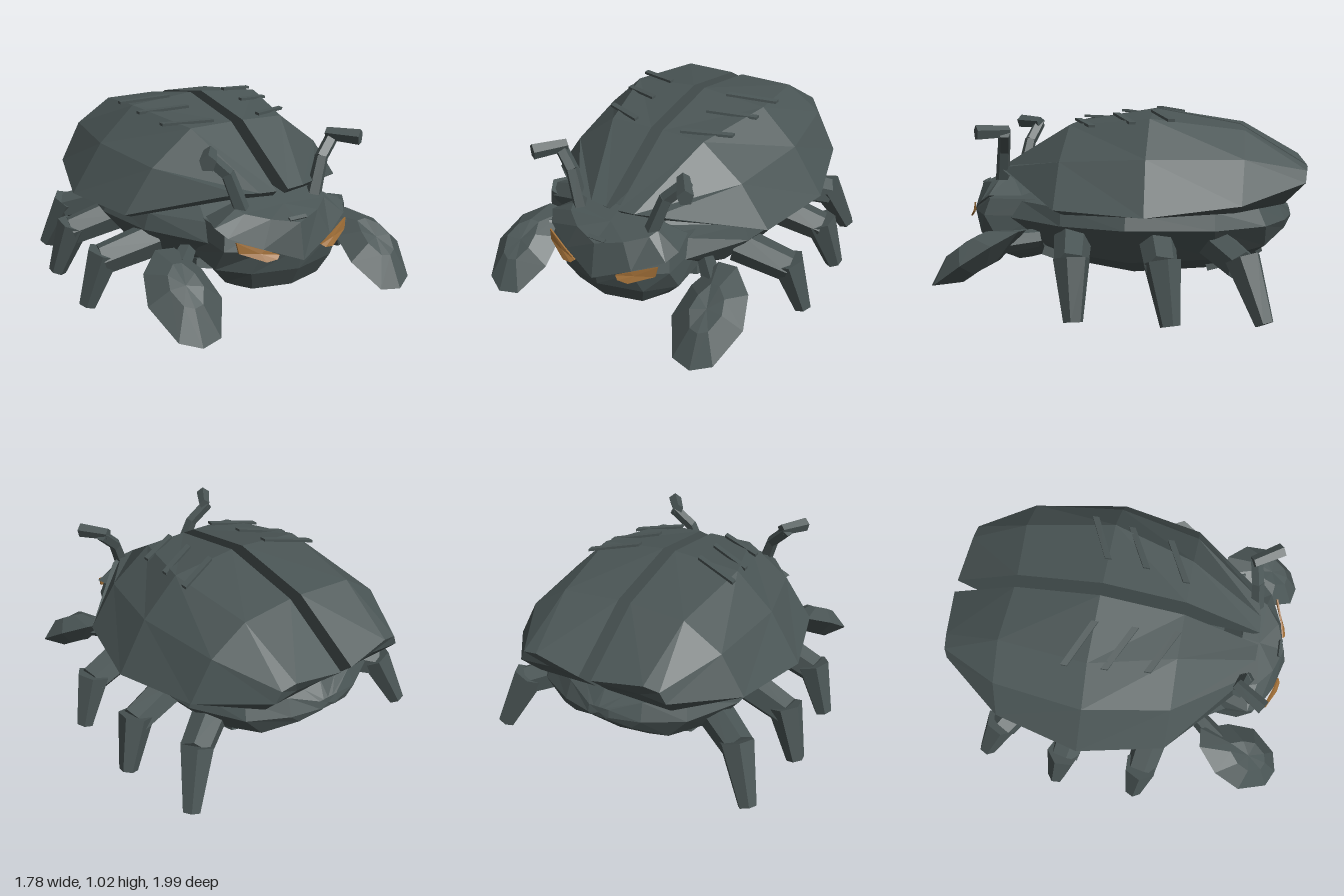
import * as THREE from 'three';

const shellMat = new THREE.MeshStandardMaterial({ color: 0x4a5555, flatShading: true });
shellMat.name = 'dark slate';
const eyeMat = new THREE.MeshStandardMaterial({ color: 0x9e6d36, flatShading: true });
eyeMat.name = 'amber';

// Closed faceted solid through rings of equal point count; faces always point outward
function loft(rings) {
  const tris = [];
  const n = rings[0].length;
  for (let i = 0; i < rings.length - 1; i++) {
    for (let j = 0; j < n; j++) {
      const k = (j + 1) % n, a = rings[i], b = rings[i + 1];
      tris.push([a[j], a[k], b[k]], [a[j], b[k], b[j]]);
    }
  }
  const centre = (r) => [0, 1, 2].map((c) => r.reduce((s, p) => s + p[c], 0) / n);
  const first = rings[0], last = rings[rings.length - 1];
  const c0 = centre(first), c1 = centre(last);
  for (let j = 0; j < n; j++) {
    const k = (j + 1) % n;
    tris.push([c0, first[k], first[j]], [c1, last[j], last[k]]);
  }
  let volume = 0;
  for (const [a, b, c] of tris) {
    volume += a[0] * (b[1] * c[2] - b[2] * c[1]) + a[1] * (b[2] * c[0] - b[0] * c[2])
      + a[2] * (b[0] * c[1] - b[1] * c[0]);
  }
  if (volume < 0) tris.forEach((t) => t.reverse());
  const g = new THREE.BufferGeometry();
  g.setAttribute('position', new THREE.Float32BufferAttribute(tris.flat(2), 3));
  g.computeVertexNormals();
  return g;
}

// Half ring completed by its mirror image in x
const sym = (half) => half.concat(
  half.filter((p) => p[0] > 0.001).reverse().map(([x, y, z]) => [-x, y, z]));
const flip = (rings, s) => rings.map((r) => r.map(([x, y, z]) => [x * s, y, z]));

function add(parent, name, geometry, material = shellMat) {
  const m = new THREE.Mesh(geometry, material);
  m.name = name;
  parent.add(m);
  return m;
}

// Tapered faceted rod from a to b
function rod(parent, name, a, b, ra, rb, sides = 6) {
  const va = new THREE.Vector3(...a), vb = new THREE.Vector3(...b);
  const d = vb.clone().sub(va);
  const m = add(parent, name, new THREE.CylinderGeometry(rb, ra, d.length(), sides));
  m.position.copy(va).add(vb).multiplyScalar(0.5);
  m.quaternion.setFromUnitVectors(new THREE.Vector3(0, 1, 0), d.normalize());
}

export function createModel() {
  const model = new THREE.Group();
  model.name = 'beetle';

  // Body: z of top, z of rim, half width, top, bottom
  const body = [
    [0.56, 0.62, 0.36, 0.58, 0.3], [0.3, 0.3, 0.56, 0.72, 0.15], [-0.05, -0.05, 0.64, 0.79, 0.1],
    [-0.5, -0.5, 0.58, 0.75, 0.14], [-0.72, -0.76, 0.42, 0.66, 0.23],
    [-0.83, -0.87, 0.22, 0.56, 0.35], [-0.9, -0.91, 0.06, 0.48, 0.42],
  ].map(([zt, z, w, t, b]) => sym([
    [0, t, zt], [w * 0.5, t - (t - 0.48) * 0.25, zt], [w * 0.95, Math.min(0.53, t), zt], [w, 0.44, z],
    [w * 0.75, b + (0.44 - b) * 0.4, z], [w * 0.42, b + (0.44 - b) * 0.1, zt], [0, b, zt],
  ]));
  add(model, 'body', loft(body));

  // Lower head: stacked horizontal outlines
  const head = [
    [0.17, [[0, 0.7], [0.14, 0.68], [0.2, 0.62], [0.15, 0.56], [0, 0.54]]],
    [0.22, [[0, 0.83], [0.2, 0.78], [0.28, 0.65], [0.25, 0.45], [0, 0.42]]],
    [0.33, [[0, 0.89], [0.24, 0.83], [0.37, 0.7], [0.36, 0.45], [0, 0.42]]],
    [0.45, [[0, 0.91], [0.2, 0.87], [0.36, 0.77], [0.36, 0.45], [0, 0.42]]],
    [0.54, [[0, 0.88], [0.2, 0.82], [0.34, 0.74], [0.34, 0.45], [0, 0.42]]],
  ].map(([y, pts]) => sym(pts.map(([x, z]) => [x, y, z])));
  add(model, 'head', loft(head));

  // Brow plate with a V-shaped front edge
  add(model, 'brow', loft([
    sym([[0, 0.39, 0.93], [0.2, 0.467, 0.87], [0.35, 0.525, 0.79], [0.39, 0.565, 0.73],
      [0.34, 0.56, 0.56], [0, 0.56, 0.5]]),
    sym([[0, 0.575, 0.89], [0.14, 0.6, 0.84], [0.24, 0.62, 0.76], [0.26, 0.635, 0.71],
      [0.2, 0.655, 0.65], [0, 0.66, 0.64]]),
  ]));
  const ridge = add(model, 'browRidge', new THREE.BoxGeometry(0.1, 0.012, 0.02));
  ridge.position.set(0, 0.59, 0.865);
  ridge.rotation.x = 0.6;

  // Wing case sections: inner bottom, inner top, ridge, flank, rim, underside
  const wing = [
    [[0.035, 0.66, 0.7], [0.035, 0.69, 0.73], [0.13, 0.695, 0.725], [0.23, 0.7, 0.7],
      [0.31, 0.69, 0.665], [0.25, 0.665, 0.66]],
    [[0.035, 0.7, 0.3], [0.035, 0.95, 0.3], [0.28, 0.945, 0.3], [0.51, 0.77, 0.31],
      [0.67, 0.545, 0.31], [0.62, 0.515, 0.27]],
    [[0.035, 0.75, -0.15], [0.035, 1.025, -0.15], [0.4, 0.99, -0.15], [0.6, 0.8, -0.15],
      [0.77, 0.535, -0.16], [0.66, 0.515, -0.15]],
    [[0.035, 0.72, -0.62], [0.035, 0.94, -0.62], [0.34, 0.93, -0.64], [0.54, 0.8, -0.64],
      [0.66, 0.585, -0.63], [0.57, 0.535, -0.6]],
    [[0.035, 0.57, -0.86], [0.035, 0.71, -1.0], [0.3, 0.745, -0.97], [0.38, 0.73, -0.962],
      [0.41, 0.67, -0.955], [0.38, 0.555, -0.85]],
  ];

  // Front paddles: slanting outline with a smaller raised face above and below
  const rim = [[0.49, 0.4, 0.5], [0.6, 0.415, 0.51], [0.72, 0.36, 0.62], [0.77, 0.265, 0.77],
    [0.7, 0.14, 0.94], [0.6, 0.11, 0.99], [0.49, 0.12, 0.965], [0.4, 0.24, 0.82], [0.42, 0.33, 0.66]];
  const face = (k, dy, dz) => rim.map(([x, y, z]) => [
    0.59 + (x - 0.59) * k, 0.25 + (y - 0.25) * k + dy, 0.76 + (z - 0.76) * k + dz]);
  const paddle = [face(0.45, 0.085, 0.04), rim, face(0.4, -0.06, -0.03)];

  // Legs: hip, knee, foot
  const legs = [
    [[0.47, 0.36, 0.25], [0.76, 0.28, 0.2], [0.845, 0.025, 0.175]],
    [[0.49, 0.36, -0.2], [0.76, 0.28, -0.25], [0.845, 0.025, -0.3]],
    [[0.4, 0.36, -0.47], [0.65, 0.28, -0.64], [0.755, 0.025, -0.75]],
  ];

  // Raised streaks on the wing cases: inner end, outer end
  const streaks = [
    [[0.18, 1.02, -0.15], [0.43, 0.985, -0.265]],
    [[0.17, 1.002, 0.06], [0.41, 0.968, -0.06]],
    [[0.14, 0.968, 0.28], [0.38, 0.948, 0.16]],
  ];

  for (const s of [1, -1]) {
    const side = new THREE.Group();
    side.name = s > 0 ? 'leftSide' : 'rightSide';
    model.add(side);
    const at = ([x, y, z]) => [x * s, y, z];

    add(side, 'wingCase', loft(flip(wing, s)));
    for (const ends of streaks) {
      const strip = ends.map(([x, y, z]) => [[x, y - 0.008, z - 0.018], [x, y + 0.006, z - 0.018],
        [x, y + 0.006, z + 0.018], [x, y - 0.008, z + 0.018]]);
      add(side, 'wingStreak', loft(flip(strip, s)));
    }

    // Eye plate leaning out from under the brow
    const eye = [[0.125, 0.435, 0.9], [0.145, 0.42, 0.912], [0.2, 0.412, 0.902], [0.32, 0.46, 0.842],
      [0.33, 0.515, 0.832], [0.2, 0.466, 0.88]];
    add(side, 'eye', loft(flip([eye, eye.map(([x, y, z]) => [x, y, z - 0.009])], s)), eyeMat);

    // Antenna bent outward and forward
    rod(side, 'antennaStem', at([0.22, 0.62, 0.7]), at([0.285, 0.81, 0.67]), 0.042, 0.036, 5);
    rod(side, 'antennaBend', at([0.28, 0.8, 0.67]), at([0.385, 0.905, 0.635]), 0.036, 0.036, 5);
    rod(side, 'antennaTip', at([0.35, 0.91, 0.62]), at([0.45, 0.91, 0.77]), 0.034, 0.042, 5);

    // Front limb
    rod(side, 'paddleArm', at([0.4, 0.34, 0.46]), at([0.53, 0.34, 0.62]), 0.05, 0.06);
    add(side, 'frontPaddle', loft(flip(paddle, s)));

    for (const [hip, knee, foot] of legs) {
      rod(side, 'thigh', at(hip), at(knee), 0.1, 0.085);
      rod(side, 'shin', at([knee[0] - 0.015, knee[1] + 0.04, knee[2]]), at(foot), 0.095, 0.05);
    }

    // Small pegs set into the belly
    for (const [y, z, tilt] of [[0.225, 0.41, 0.3], [0.19, -0.5, -0.3]]) {
      const peg = add(side, 'bellyPeg', new THREE.BoxGeometry(0.15, 0.05, 0.09));
      peg.position.set(0.26 * s, y, z);
      peg.rotation.set(-tilt, 0, 0.25 * s);
    }
  }
  return model;
}
